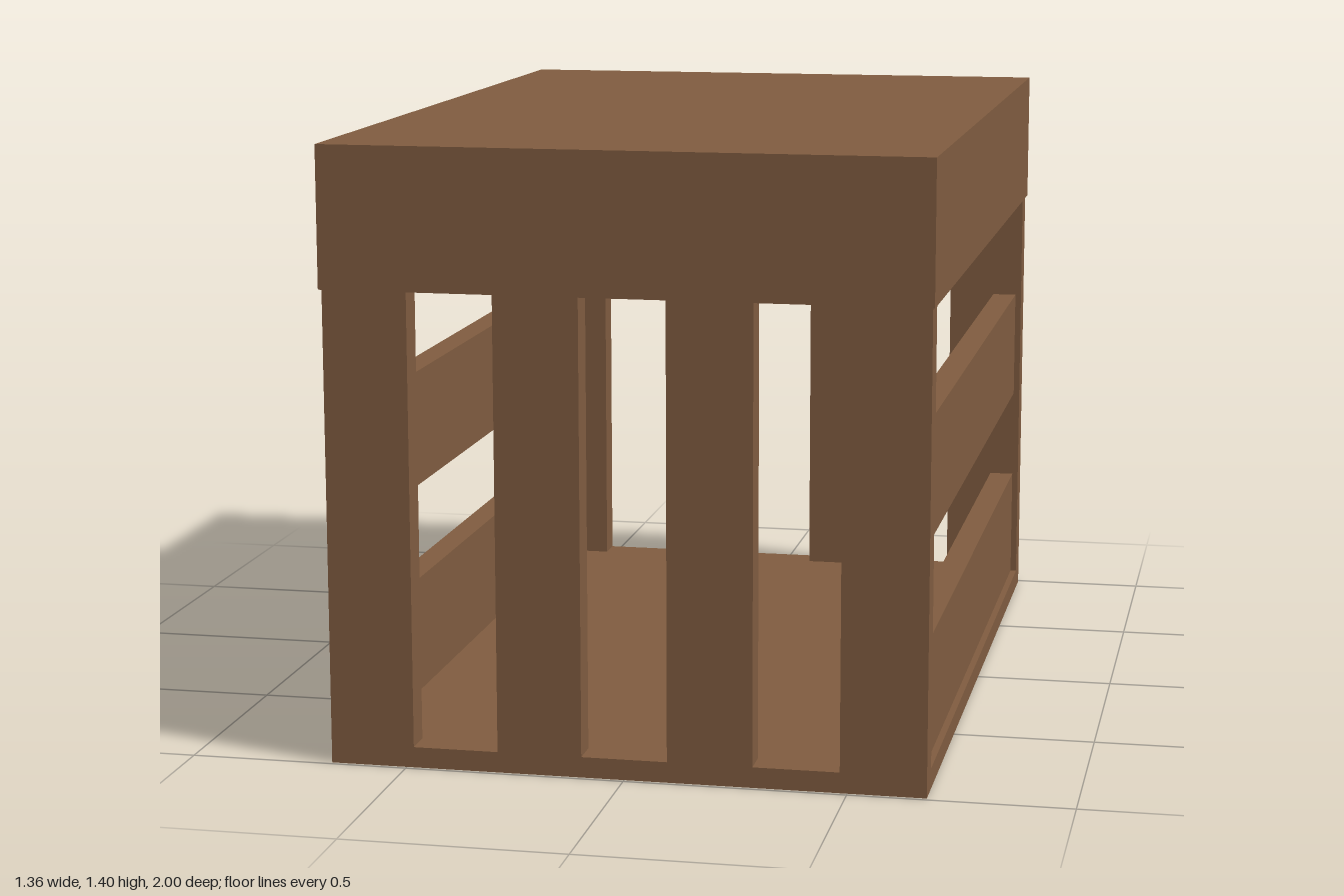
import * as THREE from 'three';

export function createModel() {
  const crate = new THREE.Group();
  crate.name = 'slattedCrate';
  const wood = new THREE.MeshStandardMaterial({ color: 0x805c40 });
  wood.name = 'brown wood';

  // Box given by its lower and upper corners
  function board(name, x0, x1, y0, y1, z0, z1) {
    const mesh = new THREE.Mesh(new THREE.BoxGeometry(x1 - x0, y1 - y0, z1 - z0), wood);
    mesh.position.set((x0 + x1) / 2, (y0 + y1) / 2, (z0 + z1) / 2);
    mesh.name = name;
    crate.add(mesh);
  }

  const X = 0.675, Z = 0.99, innerZ = 0.922, floorTop = 0.047, lidBottom = 1.35;

  board('floor', -X, X, 0, floorTop, -Z, Z);

  // Upright slats on the front and back
  for (const [name, z0, z1] of [['frontSlat', innerZ, Z], ['backSlat', -Z, -innerZ]]) {
    for (let i = 0; i < 4; i++) {
      const x = -X + i * 0.386;
      board(name, x, x + 0.192, floorTop, lidBottom, z0, z1);
    }
  }

  // Horizontal boards along both sides, slightly recessed
  for (const [y0, y1] of [[floorTop, 0.32], [0.545, 0.817], [1.083, lidBottom]]) {
    board('leftBoard', 0.6, 0.66, y0, y1, -innerZ, innerZ);
    board('rightBoard', -0.66, -0.6, y0, y1, -innerZ, innerZ);
  }

  // Hollow lid: top slab and a thin skirt around the slats
  const LX = 0.68, LZ = 1, skirtBottom = 1.08;
  board('lidTop', -LX, LX, lidBottom, 1.4, -LZ, LZ);
  board('lidFrontSkirt', -LX, LX, skirtBottom, lidBottom, Z, LZ);
  board('lidBackSkirt', -LX, LX, skirtBottom, lidBottom, -LZ, -Z);
  board('lidLeftSkirt', X, LX, skirtBottom, lidBottom, -Z, Z);
  board('lidRightSkirt', -LX, -X, skirtBottom, lidBottom, -Z, Z);

  return crate;
}
